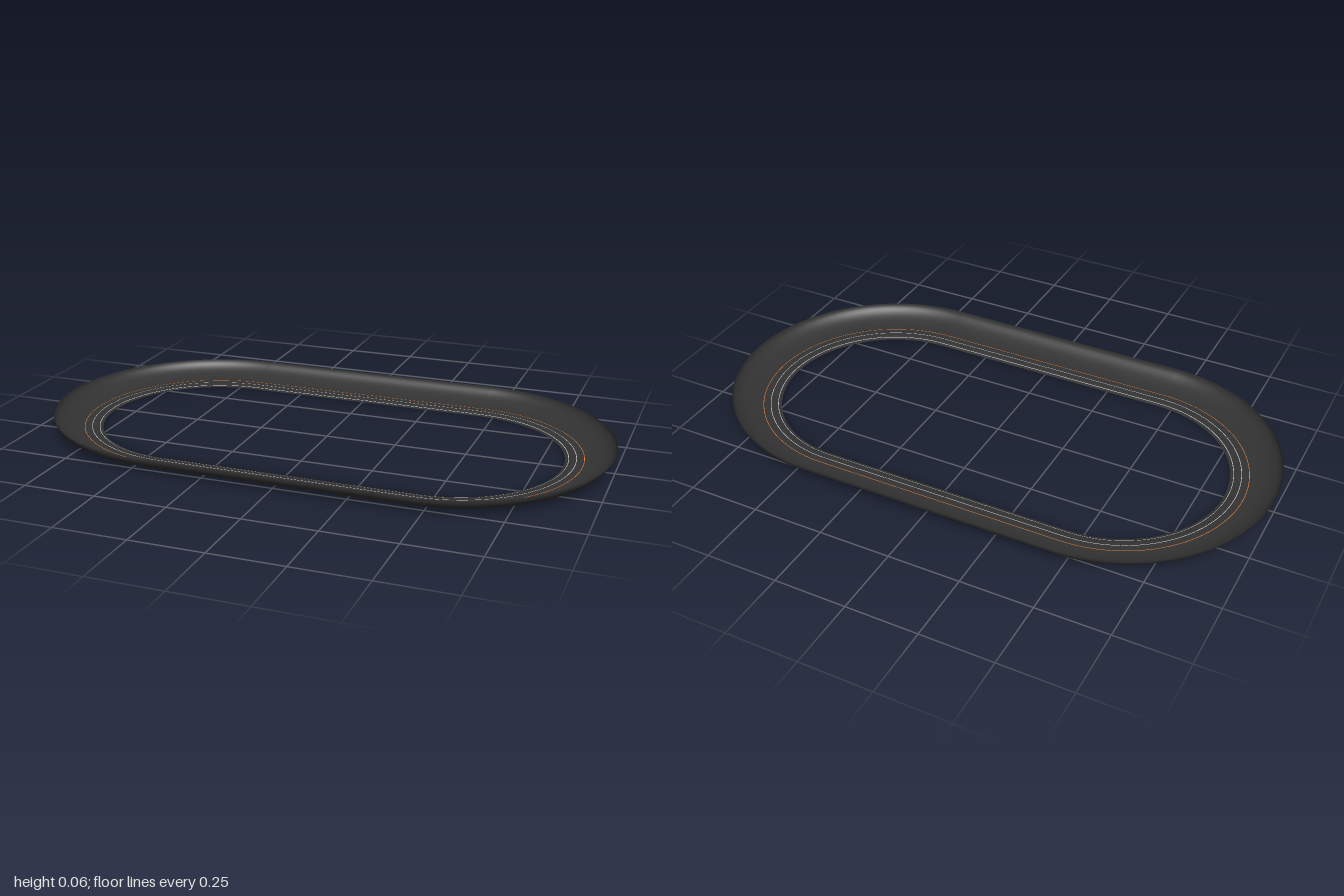
import * as THREE from 'three';

const HALF_STRAIGHT = 0.445;
const ARC_STEPS = 64;

// Stadium-shaped path: bend centre x and direction for every station
function stations() {
  const list = [];
  for (const side of [1, -1]) {
    for (let i = 0; i <= ARC_STEPS; i++) {
      const t = -Math.PI / 2 + (i / ARC_STEPS) * Math.PI + (side < 0 ? Math.PI : 0);
      list.push({ cx: side * HALF_STRAIGHT, c: Math.cos(t), s: Math.sin(t) });
    }
  }
  return list;
}

// Sweep a [radius, height] profile around the stadium path
function band(name, profile, color) {
  const path = stations(), n = profile.length, pos = [], idx = [];
  path.forEach(({ cx, c, s }, i) => {
    const next = (i + 1) % path.length;
    profile.forEach(([r, y], j) => {
      pos.push(cx + r * c, y, r * s);
      if (j === n - 1) return;
      const a = i * n + j, b = next * n + j;
      idx.push(a, b, a + 1, a + 1, b, b + 1);
    });
  });
  const geo = new THREE.BufferGeometry();
  geo.setAttribute('position', new THREE.Float32BufferAttribute(pos, 3));
  geo.setIndex(idx);
  geo.computeVertexNormals();
  const mesh = new THREE.Mesh(geo, new THREE.MeshStandardMaterial({ color, side: THREE.DoubleSide }));
  mesh.name = name;
  return mesh;
}

export function createModel() {
  const group = new THREE.Group();
  group.name = 'bankedTrack';
  const asphalt = 0x333333, white = 0xcccccc, orange = 0xd9783a;
  const w = 0.0022; // painted line width

  // Curved banking: quarter ellipse rising to the outer rim
  const bank = [[0.448 + w, 0.007]];
  for (let i = 1; i <= 20; i++) {
    const t = (i / 20) * Math.PI / 2;
    bank.push([0.45 + 0.105 * Math.sin(t), 0.06 - 0.053 * Math.cos(t)]);
  }

  group.add(
    band('innerApron', [[0.385, 0], [0.396, 0.003]], asphalt),
    band('innerLine', [[0.396, 0.003], [0.396 + w, 0.0036]], white),
    band('innerLane', [[0.396 + w, 0.0036], [0.405, 0.006], [0.422, 0.0065]], asphalt),
    band('middleLine', [[0.422, 0.0065], [0.422 + w, 0.0065]], white),
    band('middleLane', [[0.422 + w, 0.0065], [0.448, 0.007]], asphalt),
    band('outerLine', [[0.448, 0.007], [0.448 + w, 0.007]], orange),
    band('banking', bank, asphalt),
  );
  return group;
}
